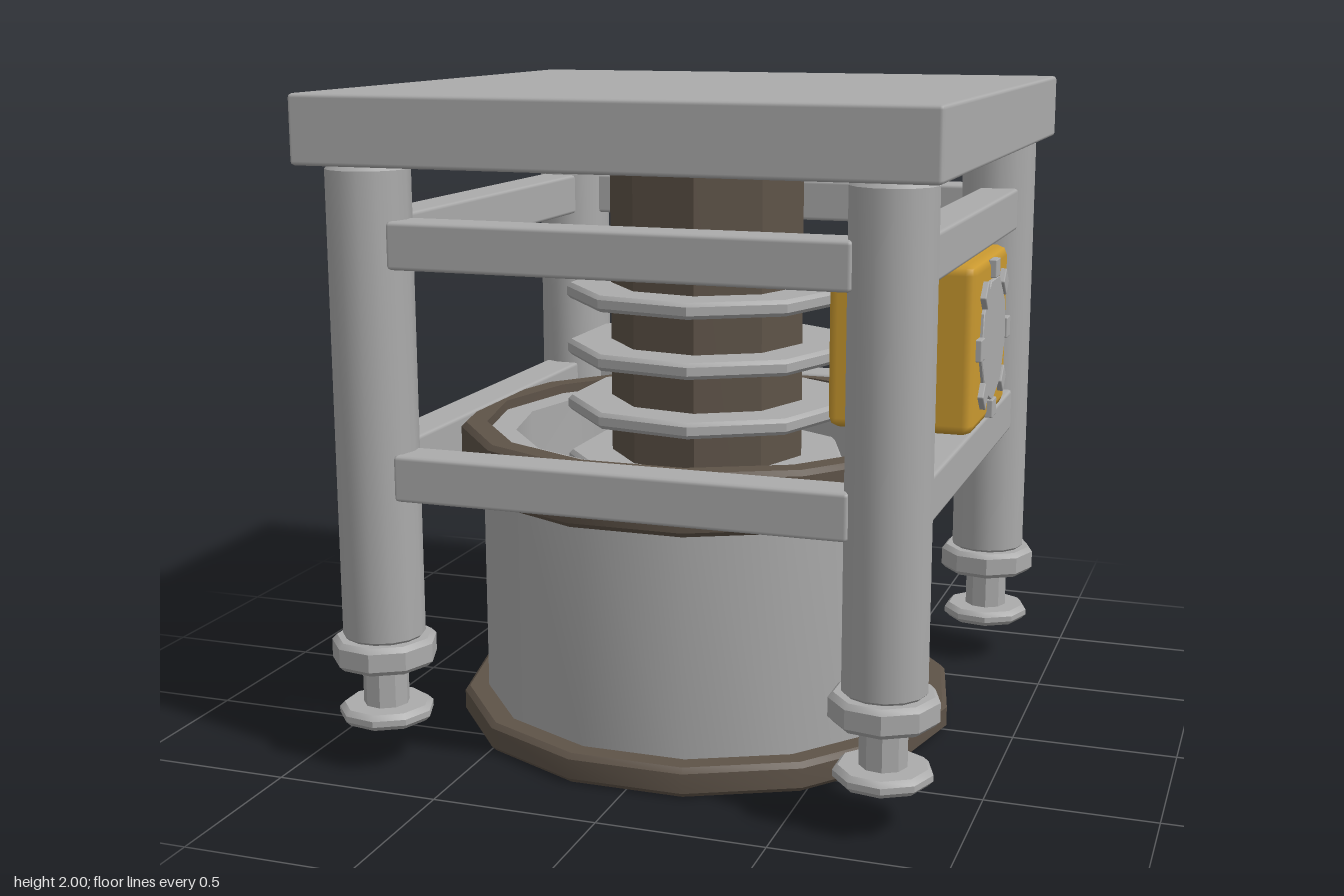
import * as THREE from 'three';
import { toCreasedNormals } from 'three/addons/utils/BufferGeometryUtils.js';
import { RoundedBoxGeometry } from 'three/addons/geometries/RoundedBoxGeometry.js';

const steel = new THREE.MeshStandardMaterial({ color: 0xababab });
steel.name = 'steelGrey';
const bronze = new THREE.MeshStandardMaterial({ color: 0x5e5348 });
bronze.name = 'darkBronze';
const amber = new THREE.MeshStandardMaterial({ color: 0xcb9a30 });
amber.name = 'amberYellow';

function addMesh(parent, name, geometry, material, x = 0, y = 0, z = 0) {
  const mesh = new THREE.Mesh(geometry, material);
  mesh.name = name;
  mesh.position.set(x, y, z);
  parent.add(mesh);
  return mesh;
}

// Turned profile with a corner pointing at +x; the rim stays crisp
function turned(points, sides) {
  const profile = points.map(([r, y]) => new THREE.Vector2(r, y));
  return toCreasedNormals(new THREE.LatheGeometry(profile, sides, Math.PI / 2), 0.6);
}

// Solid cylinder with chamfered rims
function disc(r, y0, y1, sides, b = 0.012) {
  return turned([[0, y0], [r - b, y0], [r, y0 + b], [r, y1 - b], [r - b, y1], [0, y1]], sides);
}

// Hollow cylinder with chamfered outer rims
function ring(r, inner, y0, y1, sides, b = 0.015) {
  return turned([[inner, y0], [r - b, y0], [r, y0 + b], [r, y1 - b], [r - b, y1],
    [inner, y1], [inner, y0]], sides);
}

function block(w, h, d, b) {
  return new RoundedBoxGeometry(w, h, d, 1, b);
}

export function createModel() {
  const model = new THREE.Group();
  model.name = 'pressMachine';

  // Table plate
  addMesh(model, 'topPlate', block(1.85, 0.2, 1.85, 0.012), steel, 0, 1.9, 0);

  // Four posts on adjustable feet
  const postShape = disc(0.122, 0.38, 1.81, 14, 0.025);
  const collarShape = disc(0.157, 0.312, 0.397, 9, 0.015);
  const stemShape = disc(0.069, 0.16, 0.33, 9, 0.005);
  const padShape = disc(0.142, 0.137, 0.185, 9, 0.015);
  for (const sx of [-1, 1]) {
    for (const sz of [-1, 1]) {
      const leg = new THREE.Group();
      leg.name = (sz > 0 ? 'front' : 'back') + (sx > 0 ? 'Left' : 'Right') + 'Leg';
      leg.position.set(sx * 0.766, 0, sz * 0.766);
      model.add(leg);
      addMesh(leg, 'post', postShape, steel);
      addMesh(leg, 'footCollar', collarShape, steel);
      addMesh(leg, 'footStem', stemShape, steel);
      addMesh(leg, 'footPad', padShape, steel);
    }
  }

  // Two levels of rails around the frame
  const railShape = block(1.35, 0.137, 0.13, 0.012);
  for (const [level, y] of [['lower', 0.9], ['upper', 1.575]]) {
    ['Front', 'Left', 'Back', 'Right'].forEach((side, i) => {
      const a = i * Math.PI / 2;
      const rail = addMesh(model, level + side + 'Rail', railShape, steel,
        Math.sin(a) * 0.785, y, Math.cos(a) * 0.785);
      rail.rotation.y = a;
    });
  }

  // Open drum with dark rims
  addMesh(model, 'drum', ring(0.714, 0.61, 0.02, 0.93, 14), steel);
  addMesh(model, 'drumBaseRim', ring(0.79, 0.70, 0, 0.09, 14), bronze);
  addMesh(model, 'drumTopRim', ring(0.78, 0.70, 0.775, 0.96, 14), bronze);

  // Grate under the drum
  const grate = new THREE.Group();
  grate.name = 'grate';
  model.add(grate);
  for (let i = -2; i <= 2; i++) {
    const z = i * 0.23;
    const length = 2 * Math.sqrt(0.66 ** 2 - z * z);
    addMesh(grate, 'slat', block(length, 0.04, 0.17, 0.008), steel, 0, 0.045, z);
  }

  // Central column with cooling fins
  addMesh(model, 'column', disc(0.306, 0.1, 1.81, 9, 0.03), bronze);
  for (const y of [0.827, 1.005, 1.184, 1.363]) {
    addMesh(model, 'coolingFin', disc(0.444, y - 0.025, y + 0.025, 9), steel);
  }

  // Gearbox on the left side with a lugged cover
  const gearbox = new THREE.Group();
  gearbox.name = 'gearbox';
  gearbox.position.set(0, 1.26, 0);
  model.add(gearbox);
  addMesh(gearbox, 'housing', block(0.435, 0.5, 0.54, 0.03), amber, 0.675, 0, 0);
  const cover = addMesh(gearbox, 'cover', disc(0.192, 0, 0.018, 9, 0.003), steel, 0.885, 0, 0);
  cover.rotation.z = -Math.PI / 2;
  const lugShape = block(0.025, 0.055, 0.065, 0.004);
  for (let i = 0; i < 8; i++) {
    const a = i * Math.PI / 4;
    const lug = addMesh(gearbox, 'lug', lugShape, steel, 0.8975,
      Math.cos(a) * 0.212, Math.sin(a) * 0.212);
    lug.rotation.x = a;
  }

  return model;
}
